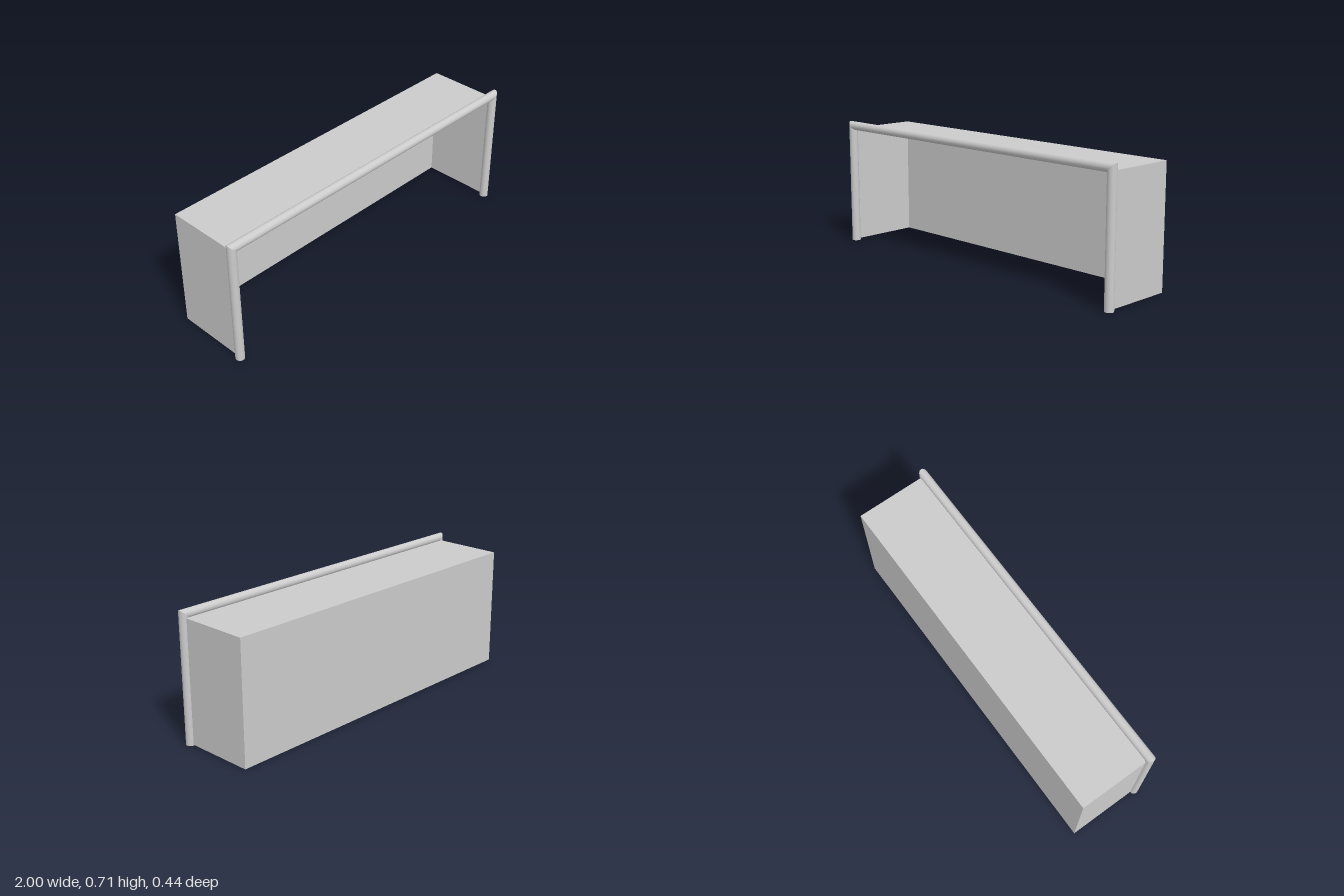
import * as THREE from 'three';

const R = 0.0245;              // tube radius of the frame
const POST_X = 1 - R;          // post centre line
const BAR_Y = 0.714 - R;       // crossbar centre line
const FRAME_Z = 0.1945;
const NET = { x: 0.977, bottom: 0.004, top: 0.674, front: 0.18, back: -0.218 };

export function createModel() {
  const group = new THREE.Group();
  const frameMat = new THREE.MeshStandardMaterial({ color: 0xcccccc });
  const netMat = new THREE.MeshStandardMaterial({ color: 0xcccccc, side: THREE.DoubleSide });

  const add = (name, geometry, material, x, y, z) => {
    const mesh = new THREE.Mesh(geometry, material);
    mesh.name = name;
    mesh.position.set(x, y, z);
    group.add(mesh);
    return mesh;
  };

  // Posts: round tubes whose tops are cut at 45 degrees for the mitred corners
  for (const side of [-1, 1]) {
    const post = new THREE.CylinderGeometry(R, R, BAR_Y, 32);
    post.translate(0, BAR_Y / 2, 0);
    const p = post.attributes.position;
    for (let i = 0; i < p.count; i++) {
      if (p.getY(i) > BAR_Y / 2) p.setY(i, BAR_Y + side * p.getX(i));
    }
    add(side > 0 ? 'leftPost' : 'rightPost', post, frameMat, side * POST_X, 0, FRAME_Z);
  }

  // Crossbar: matching mitre at both ends
  const bar = new THREE.CylinderGeometry(R, R, 2 * POST_X, 32);
  bar.rotateZ(Math.PI / 2);
  const b = bar.attributes.position;
  for (let i = 0; i < b.count; i++) {
    b.setX(i, Math.sign(b.getX(i)) * (POST_X + b.getY(i)));
  }
  add('crossbar', bar, frameMat, 0, BAR_Y, FRAME_Z);

  // Net: thin sheets at the back, top and both sides, open at front and floor
  const height = NET.top - NET.bottom;
  const depth = NET.front - NET.back;
  const midY = (NET.top + NET.bottom) / 2;
  const midZ = (NET.front + NET.back) / 2;
  add('backNet', new THREE.PlaneGeometry(2 * NET.x, height).rotateY(Math.PI), netMat, 0, midY, NET.back);
  add('topNet', new THREE.PlaneGeometry(2 * NET.x, depth).rotateX(-Math.PI / 2), netMat, 0, NET.top, midZ);
  for (const side of [-1, 1]) {
    add(side > 0 ? 'leftNet' : 'rightNet',
      new THREE.PlaneGeometry(depth, height).rotateY(side * Math.PI / 2), netMat, side * NET.x, midY, midZ);
  }

  return group;
}
